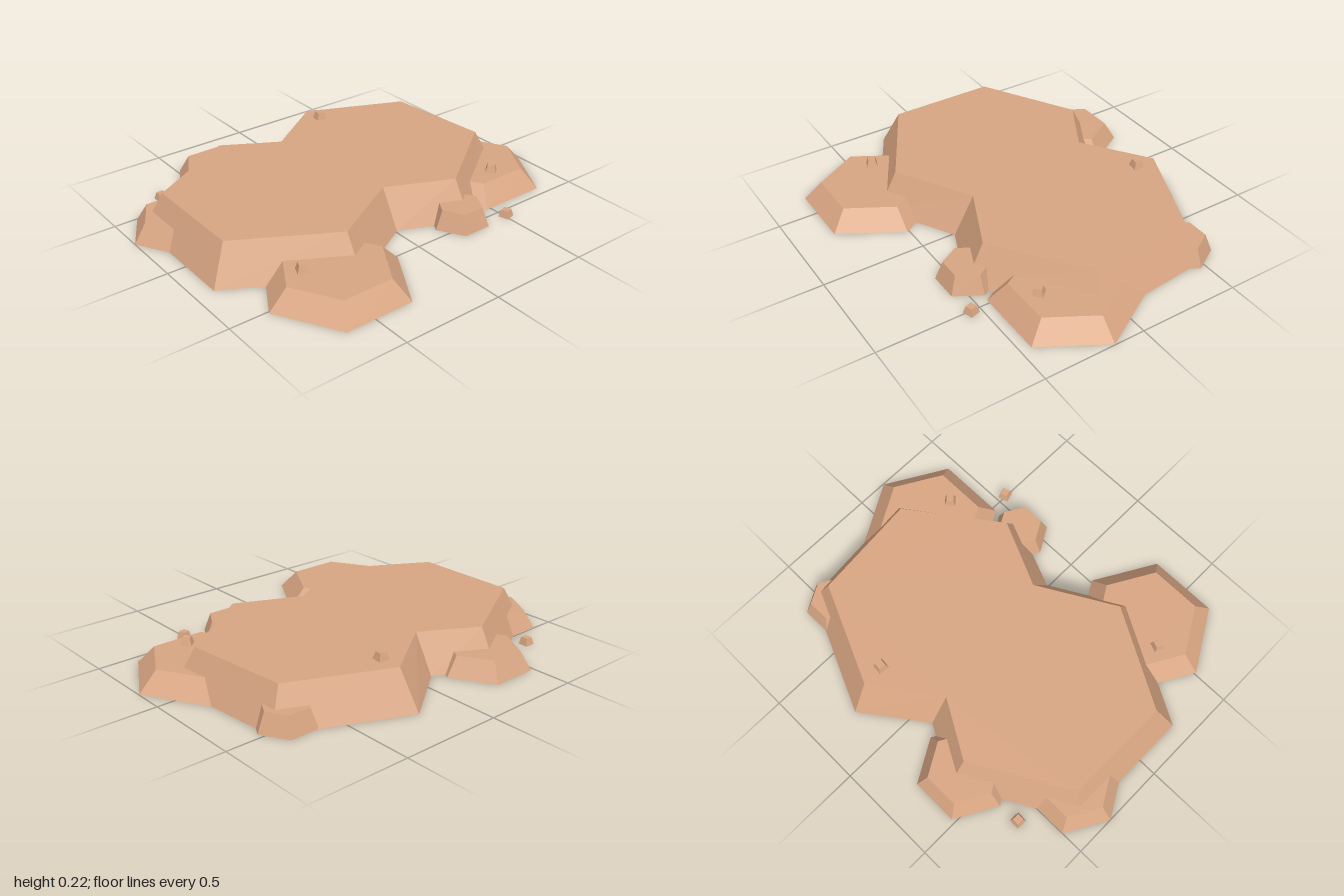
import * as THREE from 'three';

const sandstone = new THREE.MeshStandardMaterial({ color: 0xd8a582, flatShading: true });
sandstone.name = 'sandstone';

// Solid between a bottom and a top outline of [x, z] points, with sloped sides
function slab(bottom, top, height) {
  const pos = [];
  const low = bottom.map(([x, z]) => [x, 0, z]);
  const high = top.map(([x, z]) => [x, height, z]);
  const tri = (a, b, c) => pos.push(...a, ...b, ...c);
  low.forEach((a, i) => {
    const j = (i + 1) % low.length;
    tri(a, high[i], low[j]);
    tri(low[j], high[i], high[j]);
  });
  const cap = (ring, up) => {
    const flat = ring.map((p) => new THREE.Vector2(p[0], p[2]));
    for (const [i, j, k] of THREE.ShapeUtils.triangulateShape(flat, [])) {
      const facesDown = THREE.ShapeUtils.area([flat[i], flat[j], flat[k]]) > 0;
      if (facesDown === up) tri(ring[i], ring[k], ring[j]);
      else tri(ring[i], ring[j], ring[k]);
    }
  };
  cap(low, false);
  cap(high, true);
  const geo = new THREE.BufferGeometry();
  geo.setAttribute('position', new THREE.Float32BufferAttribute(pos, 3));
  geo.computeVertexNormals();
  return geo;
}

// Regular outline with its first corner at the given angle
const ring = (sides, radius, start = 0) => Array.from({ length: sides }, (_, i) => {
  const a = start + (i / sides) * Math.PI * 2;
  return [Math.cos(a) * radius, Math.sin(a) * radius];
});

export function createModel() {
  const model = new THREE.Group();
  model.name = 'rockPlateau';
  const add = (name, geometry, x = 0, y = 0, z = 0, turn = 0) => {
    const mesh = new THREE.Mesh(geometry, sandstone);
    mesh.name = name;
    mesh.position.set(x, y, z);
    mesh.rotation.y = THREE.MathUtils.degToRad(turn);
    model.add(mesh);
  };

  // Main plateau: two merged hexagonal lobes with a notch at front and back
  const base = [[-0.91, -0.395], [-0.36, -0.705], [-0.09, -0.555], [0.21, -0.775], [0.79, -0.52],
    [0.85, 0.11], [0.34, 0.475], [0.01, 0.335], [-0.36, 0.545], [-0.91, 0.235]];
  const crown = [[-0.82, -0.345], [-0.36, -0.605], [-0.09, -0.45], [0.225, -0.67], [0.705, -0.46],
    [0.755, 0.065], [0.33, 0.375], [0.01, 0.23], [-0.36, 0.44], [-0.82, 0.18]];
  add('plateau', slab(base, crown, 0.185));

  // Hexagonal ledges: name, x, z, bottom radius, top radius
  [['backLedge', -0.365, -0.61, 0.23, 0.173],
    ['rightSideLedge', -0.77, -0.3, 0.23, 0.17],
    ['frontRightLedge', -0.475, 0.51, 0.342, 0.253],
    ['frontLeftLedge', 0.652, 0.15, 0.345, 0.255],
    ['smallFrontLedge', 0.302, 0.44, 0.145, 0.109],
    ['smallBackLedge', 0.68, -0.472, 0.145, 0.109],
  ].forEach(([name, x, z, r, t]) => add(name, slab(ring(6, r), ring(6, t), 0.092), x, 0, z));

  // Loose square pebbles: x, y, z, turn in degrees
  const pebble = slab(ring(4, 0.037, Math.PI / 4), ring(4, 0.024, Math.PI / 4), 0.035);
  [[-0.7, 0, -0.6, -2], [0.23, 0.185, -0.56, -6], [-0.605, 0.092, 0.45, -22],
    [0.648, 0.092, 0.295, 42], [0.507, 0, 0.545, 18],
  ].forEach(([x, y, z, turn], i) => add(`pebble${i + 1}`, pebble, x, y, z, turn));

  return model;
}
